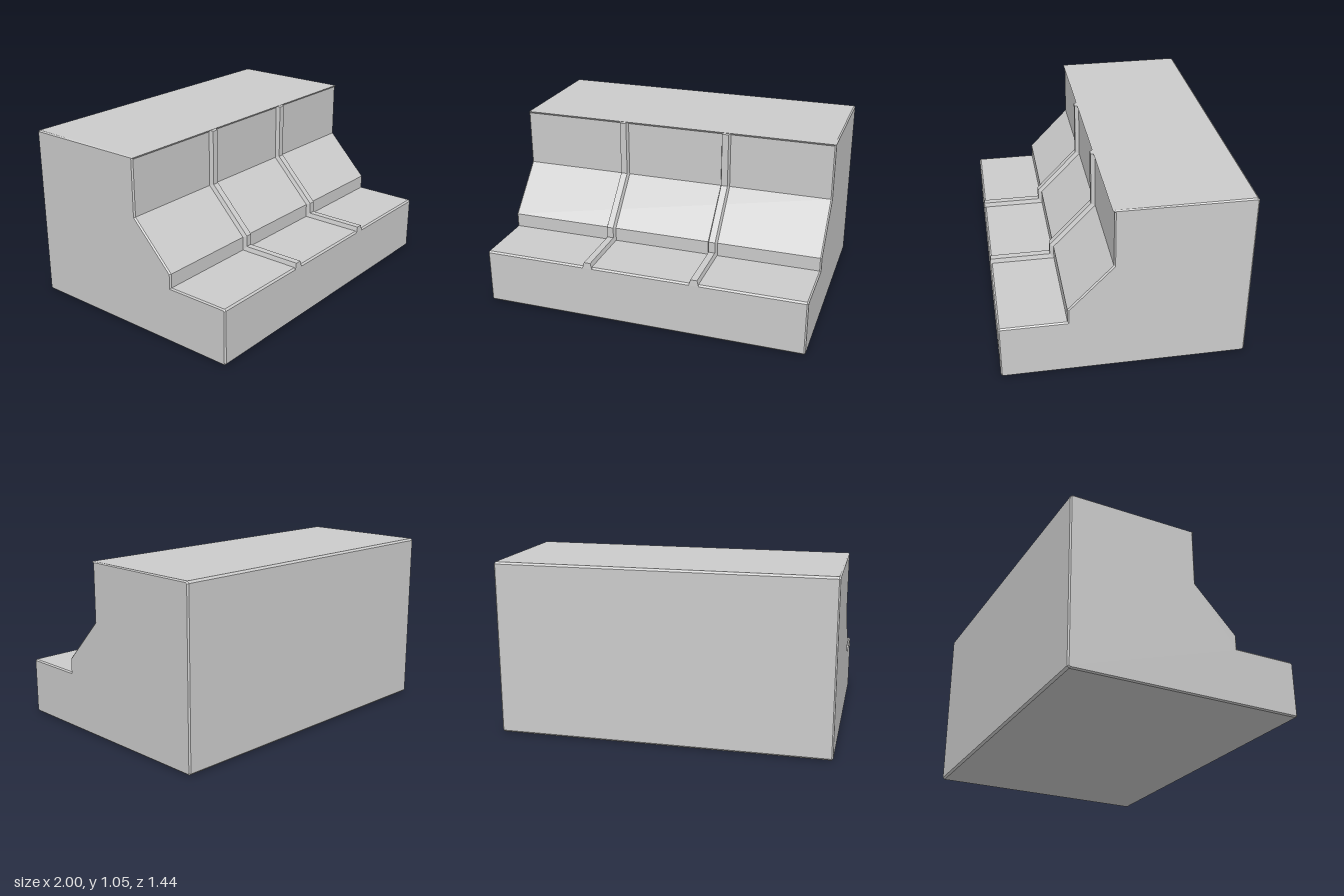
import * as THREE from 'three';

const material = new THREE.MeshStandardMaterial({ color: 0xcccccc, flatShading: true });

// Stepped side profile as [z, y], with small chamfers on the outer corners
const PROFILE = [
  [0.708, 0], [0.72, 0.012], [0.72, 0.335], [0.71, 0.345],
  [0.33, 0.345], [0.33, 0.43], [0.07, 0.7], [0.07, 1.04], [0.08, 1.052],
  [-0.708, 1.052], [-0.72, 1.04], [-0.72, 0.012], [-0.708, 0],
];

// Rib path along the stepped front: foot on the body, crest above it, both [z, y]
const RIB = [
  { foot: [0.72, 0.335], crest: [0.718, 0.372] },
  { foot: [0.33, 0.34], crest: [0.353, 0.372] },
  { foot: [0.33, 0.43], crest: [0.353, 0.44] },
  { foot: [0.065, 0.7], crest: [0.095, 0.71] },
  { foot: [0.065, 1.052], crest: [0.095, 1.046] },
];

function createBody() {
  const shape = new THREE.Shape(PROFILE.map(([z, y]) => new THREE.Vector2(z, y)));
  const bevel = 0.008;
  const geometry = new THREE.ExtrudeGeometry(shape, {
    depth: 2 - 2 * bevel, bevelEnabled: true, bevelSegments: 1,
    bevelThickness: bevel, bevelSize: bevel, bevelOffset: -bevel,
  });
  geometry.translate(0, 0, -1 + bevel);
  geometry.rotateY(-Math.PI / 2);
  const body = new THREE.Mesh(geometry, material);
  body.name = 'steppedBody';
  return body;
}

// Raised strip with a trapezoid section that follows the steps
function createRibGeometry() {
  const footHalf = 0.03, crestHalf = 0.02;
  const positions = [], index = [];
  for (const { foot, crest } of RIB) {
    positions.push(
      -footHalf, foot[1], foot[0], -crestHalf, crest[1], crest[0],
      crestHalf, crest[1], crest[0], footHalf, foot[1], foot[0],
    );
  }
  for (let i = 0; i < RIB.length - 1; i++) {
    for (let j = 0; j < 3; j++) {
      const a = i * 4 + j, b = a + 1, c = a + 4, d = a + 5;
      index.push(a, b, c, b, d, c);
    }
  }
  const e = (RIB.length - 1) * 4;
  index.push(0, 2, 1, 0, 3, 2, e, e + 1, e + 2, e, e + 2, e + 3);
  const indexed = new THREE.BufferGeometry();
  indexed.setAttribute('position', new THREE.Float32BufferAttribute(positions, 3));
  indexed.setIndex(index);
  const geometry = indexed.toNonIndexed();
  geometry.computeVertexNormals();
  return geometry;
}

export function createModel() {
  const model = new THREE.Group();
  model.name = 'steppedCounter';
  model.add(createBody());

  // Two ribs divide the front into three bays
  const ribGeometry = createRibGeometry();
  const ribMaterial = material.clone();
  ribMaterial.side = THREE.DoubleSide;
  for (const side of [-1, 1]) {
    const rib = new THREE.Mesh(ribGeometry, ribMaterial);
    rib.name = side < 0 ? 'rightRib' : 'leftRib';
    rib.position.x = side * 0.333;
    model.add(rib);
  }
  return model;
}
